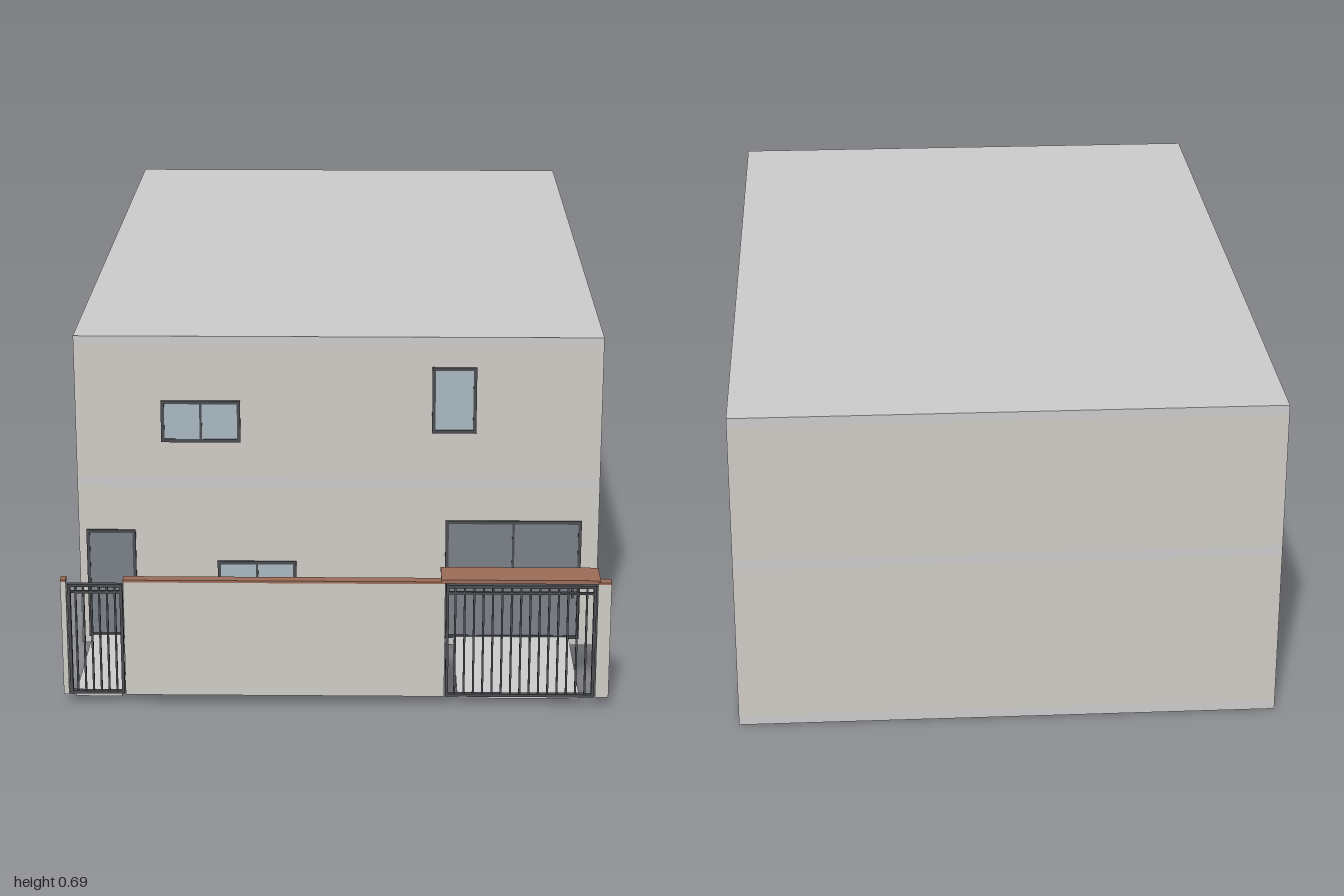
import * as THREE from 'three';

const material = (color) => new THREE.MeshStandardMaterial({ color });
const grey = material(0xcccccc);
const wallMat = material(0xcfccc6);
const wood = material(0x9c6c58);
const dark = material(0x4a4c50);
const glass = material(0xa9b8c0);
const panelMat = material(0x7b8088);

// Box given by its min and max on each axis
function box(parent, name, mat, x0, x1, y0, y1, z0, z1) {
  const mesh = new THREE.Mesh(new THREE.BoxGeometry(x1 - x0, y1 - y0, z1 - z0), mat);
  mesh.position.set((x0 + x1) / 2, (y0 + y1) / 2, (z0 + z1) / 2);
  mesh.name = name;
  parent.add(mesh);
  return mesh;
}

function group(parent, name) {
  const g = new THREE.Group();
  g.name = name;
  parent.add(g);
  return g;
}

const W = 0.553, FRONT = 0.672;

// Four frame bars around an opening on the facade
function frame(g, x0, x1, y0, y1, t, z0, z1) {
  box(g, 'frameLeft', dark, x0, x0 + t, y0, y1, z0, z1);
  box(g, 'frameRight', dark, x1 - t, x1, y0, y1, z0, z1);
  box(g, 'frameBottom', dark, x0 + t, x1 - t, y0, y0 + t, z0, z1);
  box(g, 'frameTop', dark, x0 + t, x1 - t, y1 - t, y1, z0, z1);
}

// Framed window or door, split into equal leaves
function opening(parent, name, x0, x1, y0, y1, leaves, fill) {
  const g = group(parent, name), t = 0.007;
  frame(g, x0, x1, y0, y1, t, FRONT - 0.004, FRONT + 0.004);
  box(g, 'pane', fill, x0 + t, x1 - t, y0 + t, y1 - t, FRONT - 0.004, FRONT + 0.0015);
  for (let i = 1; i < leaves; i++) {
    const x = x0 + (x1 - x0) * i / leaves;
    box(g, 'mullion', dark, x - 0.0025, x + 0.0025, y0 + t, y1 - t, FRONT, FRONT + 0.003);
  }
  return g;
}

// Barred gate with stiles, rails and evenly spaced bars
function gate(parent, name, x0, x1, y0, y1, bars) {
  const g = group(parent, name), z0 = 0.984, z1 = 0.994, t = 0.006;
  frame(g, x0, x1, y0, y1, t, z0, z1);
  box(g, 'upperRail', dark, x0 + t, x1 - t, y1 - 0.02, y1 - 0.015, z0 + 0.002, z1 - 0.002);
  for (let i = 1; i <= bars; i++) {
    const x = x0 + (x1 - x0) * i / (bars + 1);
    box(g, 'bar', dark, x - 0.002, x + 0.002, y0 + t, y1 - t, z0 + 0.003, z1 - 0.003);
  }
}

export function createModel() {
  const model = new THREE.Group();
  model.name = 'house';

  // House body: storeys stacked between floor slabs
  const body = group(model, 'body');
  const levels = [[0, 0.02, 'groundSlab', grey], [0.02, 0.358, 'lowerStorey', wallMat],
    [0.358, 0.378, 'middleSlab', grey], [0.378, 0.67, 'upperStorey', wallMat],
    [0.67, 0.688, 'roofSlab', grey]];
  for (const [y0, y1, name, mat] of levels) box(body, name, mat, -W, W, y0, y1, -1, FRONT);

  // Windows
  opening(model, 'upperWideWindow', -0.373, -0.206, 0.457, 0.548, 2, glass);
  opening(model, 'upperTallWindow', 0.197, 0.29, 0.479, 0.623, 1, glass);
  opening(model, 'lowerWideWindow', -0.258, -0.09, 0.1, 0.19, 2, glass);

  // Doors with handles
  const side = opening(model, 'sideDoor', -0.537, -0.432, 0.016, 0.26, 1, panelMat);
  box(side, 'handle', dark, -0.45, -0.445, 0.115, 0.135, FRONT, FRONT + 0.006);
  const main = opening(model, 'doubleDoor', 0.228, 0.517, 0.016, 0.284, 2, panelMat);
  box(main, 'handle', dark, 0.498, 0.503, 0.11, 0.14, FRONT, FRONT + 0.006);

  // Paths from the doors to the gates
  box(model, 'sidePath', grey, -0.53, -0.435, 0.013, 0.02, FRONT, 0.985);
  box(model, 'mainPath', grey, 0.247, 0.495, 0.013, 0.02, FRONT, 0.985);

  // Street wall in three pieces, each with a wooden coping
  const fence = group(model, 'streetWall');
  for (const [x0, x1] of [[-W, -0.542], [-0.427, 0.22], [0.526, W]]) {
    box(fence, 'wall', wallMat, x0, x1, 0.022, 0.267, 0.983, 0.998);
    box(fence, 'coping', wood, x0, x1, 0.267, 0.272, 0.978, 1);
  }

  // Gates, hinges and the canopy over the main gate
  gate(model, 'sideGate', -0.54, -0.429, 0.022, 0.26, 6);
  gate(model, 'mainGate', 0.222, 0.524, 0.02, 0.262, 15);
  for (const y of [0.06, 0.14, 0.22])
    box(model, 'hinge', dark, -0.432, -0.42, y, y + 0.012, 0.979, 0.986);
  box(model, 'canopy', wood, 0.212, 0.531, 0.268, 0.276, 0.927, 0.9995);

  return model;
}
